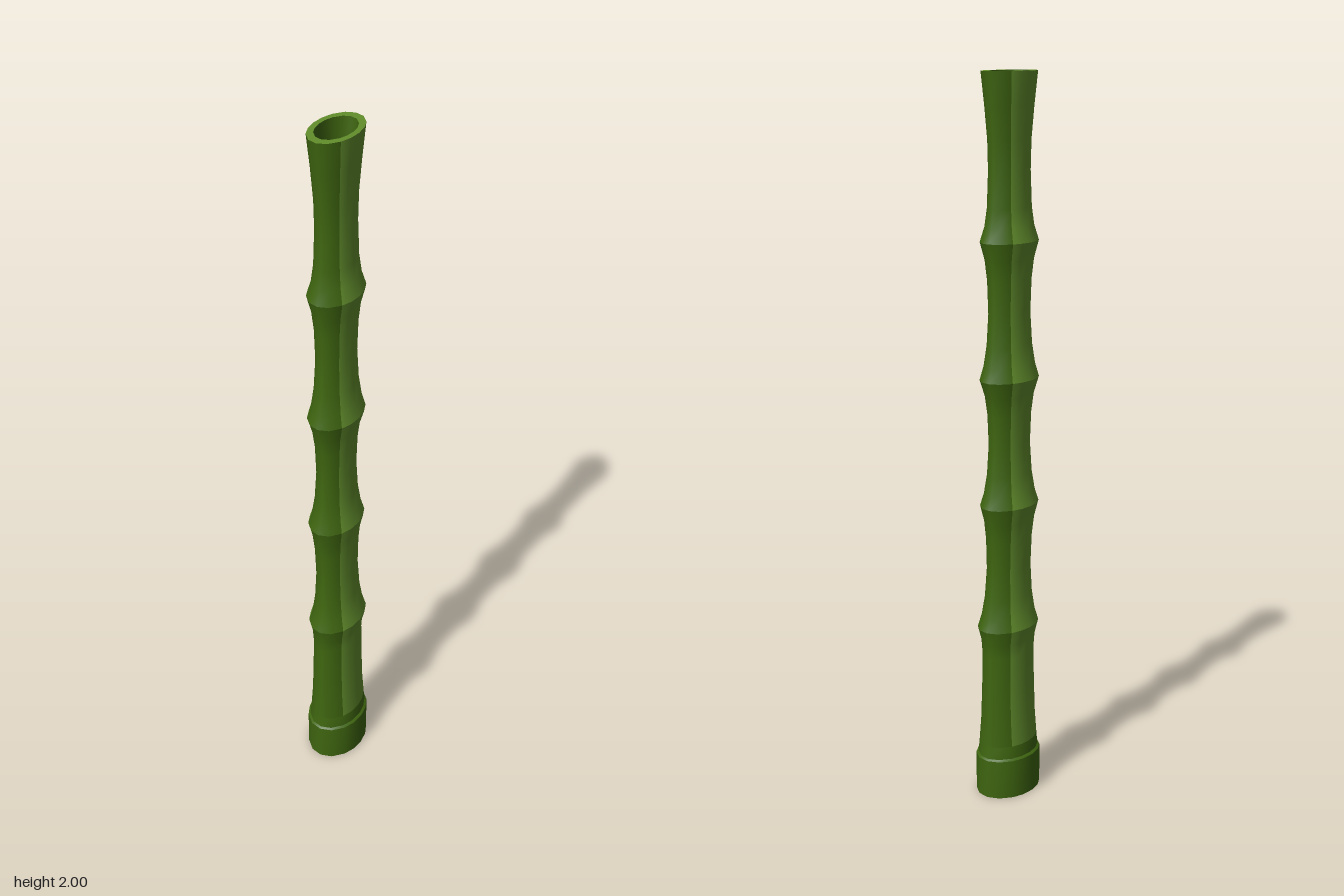
import * as THREE from 'three';

// Facet corners in degrees; the flat +x and -x sides lie within 40 degrees of the x axis
const QUARTER = [0, 20, 40, 66];
const ANGLES = [
  ...QUARTER, 90, ...QUARTER.slice(1).reverse().map(a => 180 - a),
  ...QUARTER.map(a => a + 180), 270, ...QUARTER.slice(1).reverse().map(a => 360 - a),
];
const N = ANGLES.length;

function material(name, color, side = THREE.FrontSide) {
  const m = new THREE.MeshStandardMaterial({ color, side });
  m.name = name;
  return m;
}

// Skin a list of oval rings [y, radiusX, radiusZ, centreX]; pick(sector) chooses the material index
function shell(name, rings, materials, pick = () => 0) {
  const pos = [], index = [];
  for (const [y, rx, rz, cx = 0] of rings) {
    for (const deg of ANGLES) {
      const a = THREE.MathUtils.degToRad(deg);
      pos.push(cx + rx * Math.cos(a), y, rz * Math.sin(a));
    }
  }
  const g = new THREE.BufferGeometry();
  materials.forEach((_, m) => {
    const start = index.length;
    for (let j = 0; j < N; j++) {
      if (pick(j) !== m) continue;
      for (let i = 0; i < rings.length - 1; i++) {
        const k = (j + 1) % N;
        const a = i * N + j, b = a + N, c = i * N + k, d = c + N;
        index.push(a, b, c, c, b, d);
      }
    }
    g.addGroup(start, index.length - start, m);
  });
  g.setAttribute('position', new THREE.Float32BufferAttribute(pos, 3));
  g.setIndex(index);
  g.computeVertexNormals();
  const mesh = new THREE.Mesh(g, materials);
  mesh.name = name;
  return mesh;
}

export function createModel() {
  const stalk = new THREE.Group();
  stalk.name = 'bambooStalk';
  const dark = material('darkGreen', 0x3f6610);
  const light = material('lightGreen', 0x638f2d);
  const hollow = material('hollowBlack', 0x0e100c);

  // Light stripes run along the two broad sides
  const stripes = j => {
    const next = j === N - 1 ? 360 : ANGLES[j + 1];
    const mid = THREE.MathUtils.degToRad((ANGLES[j] + next) / 2);
    return Math.abs(Math.cos(mid)) > Math.cos(THREE.MathUtils.degToRad(40)) ? 1 : 0;
  };

  // Base collar and its small step
  stalk.add(shell('baseCollar', [[0, 0.081, 0.108], [0.11, 0.081, 0.109]], [dark]));
  stalk.add(shell('collarStep', [[0.11, 0.081, 0.109], [0.115, 0.074, 0.104]], [dark]));
  stalk.add(shell('stalkFoot', [[0.115, 0.074, 0.104], [0.15, 0.071, 0.101]], [dark]));

  // Lowest segment
  stalk.add(shell('segment1', [
    [0.15, 0.071, 0.101], [0.22, 0.065, 0.098], [0.32, 0.061, 0.097],
    [0.41, 0.06, 0.095], [0.45, 0.063, 0.098], [0.49, 0.073, 0.108],
  ], [dark, light], stripes));

  // Waisted segments between the nodes: [bottom, top, waistX, waistZ, nodeX, nodeZ, nextX, nextZ]
  const segments = [
    [0.49, 0.84, 0.05, 0.082, 0.073, 0.108, 0.069, 0.103],
    [0.84, 1.19, 0.046, 0.077, 0.069, 0.103, 0.069, 0.103],
    [1.19, 1.56, 0.046, 0.077, 0.069, 0.103, 0.068, 0.1],
    [1.56, 2.0, 0.046, 0.076, 0.068, 0.1, 0.062, 0.1],
  ];
  segments.forEach(([y0, y1, wx, wz, ax, az, bx, bz], s) => {
    const last = s === segments.length - 1;
    // [height fraction, flare from waist, uses upper end]
    const flare = last
      ? [[0, 1, 0], [0.09, 0.45, 0], [0.2, 0.15, 0], [0.42, 0, 0], [0.6, 0.1, 1], [0.8, 0.5, 1], [1, 1, 1]]
      : [[0, 1, 0], [0.1, 0.55, 0], [0.25, 0.2, 0], [0.48, 0, 0], [0.72, 0.13, 1], [0.87, 0.42, 1], [1, 1, 1]];
    const rings = flare.map(([t, f, up]) => [
      y0 + (y1 - y0) * t,
      wx + ((up ? bx : ax) - wx) * f,
      wz + ((up ? bz : az) - wz) * f,
      s === 0 ? -0.004 * t : -0.004,
    ]);
    stalk.add(shell(`segment${s + 2}`, rings, [dark, light], stripes));
  });

  // Cut top: rim, tapering hollow and dark floor
  const cx = -0.004;
  stalk.add(shell('topRim', [[2, 0.062, 0.1, cx], [2, 0.047, 0.075, cx]], [light]));
  stalk.add(shell('topHollow', [
    [2, 0.047, 0.075, cx], [1.9, 0.039, 0.064, cx], [1.75, 0.034, 0.05, cx], [1.6, 0.031, 0.037, cx],
  ], [dark]));
  stalk.add(shell('topHollowFloor', [[1.6, 0.031, 0.037, cx], [1.6, 0.0001, 0.0001, cx]], [hollow]));

  // Open bottom: rim, hollow and its end
  stalk.add(shell('bottomRim', [[0, 0.062, 0.086], [0, 0.081, 0.108]], [dark]));
  stalk.add(shell('bottomHollow', [[0.35, 0.042, 0.06], [0.15, 0.052, 0.075], [0, 0.062, 0.086]], [light]));
  stalk.add(shell('bottomHollowEnd', [[0.35, 0.0001, 0.0001], [0.35, 0.042, 0.06]], [dark]));

  return stalk;
}
